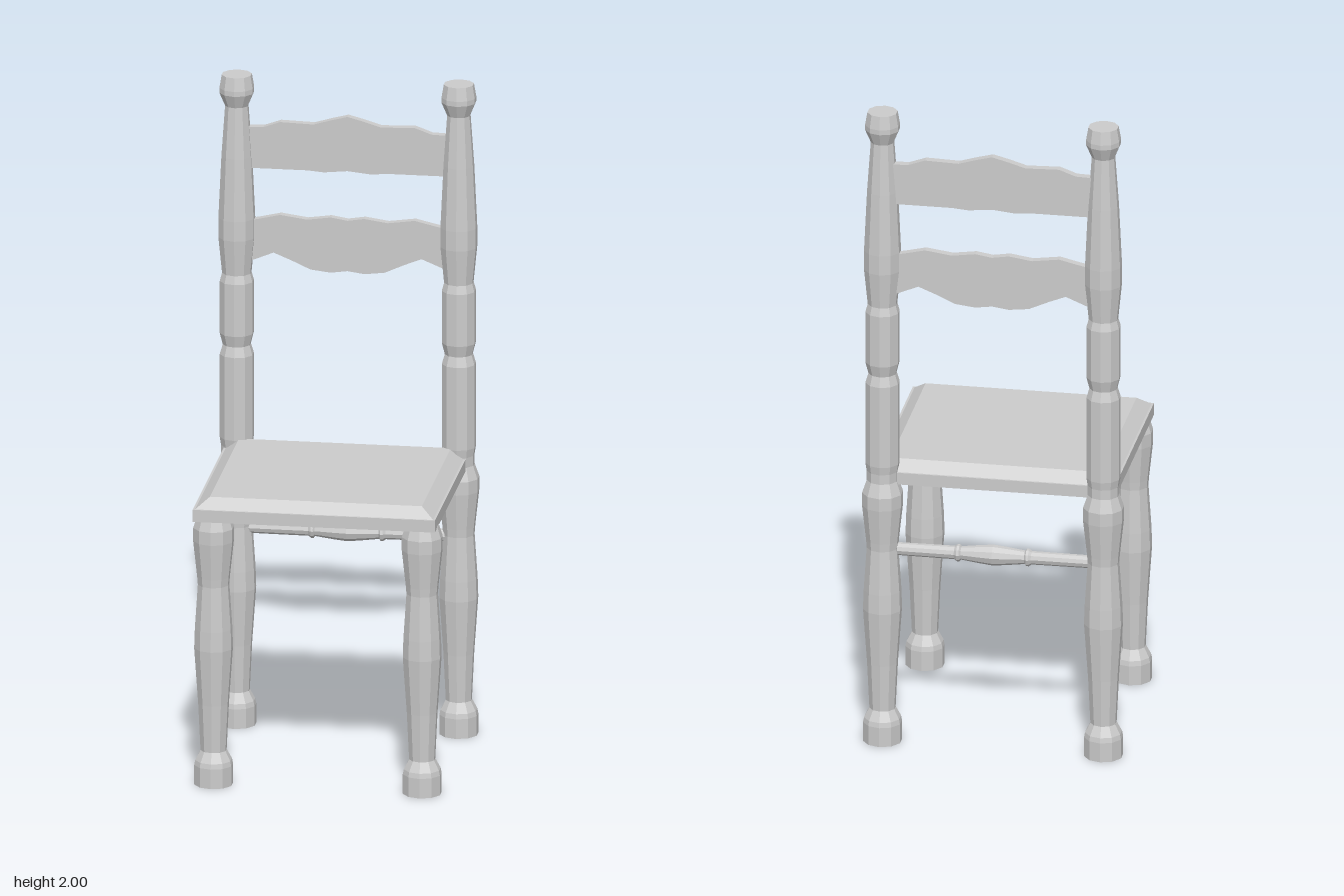
import * as THREE from 'three';

const material = new THREE.MeshStandardMaterial({ color: 0xcccccc, flatShading: true });

function part(parent, name, geometry, x = 0, y = 0, z = 0) {
  const mesh = new THREE.Mesh(geometry, material);
  mesh.name = name;
  mesh.position.set(x, y, z);
  parent.add(mesh);
  return mesh;
}

// Ten-sided turned piece from [radius, height] pairs, capped at both ends
function turned(profile) {
  const points = [[0, profile[0][1]], ...profile, [0, profile[profile.length - 1][1]]];
  return new THREE.LatheGeometry(points.map(([r, y]) => new THREE.Vector2(r, y)), 10);
}

// Flat slat symmetric about x = 0; edges are [x, y] pairs from the centre outwards
function slat(top, bottom, depth) {
  const mirror = (edge) => edge.slice(1).reverse().map(([x, y]) => [-x, y]);
  const upper = [...mirror(top), ...top];
  const lower = [...mirror(bottom), ...bottom].reverse();
  const shape = new THREE.Shape([...upper, ...lower].map(([x, y]) => new THREE.Vector2(x, y)));
  return new THREE.ExtrudeGeometry(shape, { depth, bevelEnabled: false });
}

export function createModel() {
  const chair = new THREE.Group();
  chair.name = 'chair';

  // Legs: the rear ones carry on upwards as back posts
  const leg = [
    [0.058, 0], [0.058, 0.06], [0.055, 0.075], [0.039, 0.105], [0.046, 0.25],
    [0.058, 0.42], [0.056, 0.48], [0.047, 0.615], [0.049, 0.64], [0.061, 0.75], [0.061, 0.79],
  ];
  const post = [
    ...leg, [0.047, 0.83], [0.047, 0.86], [0.051, 0.885], [0.051, 1.14], [0.042, 1.17],
    [0.051, 1.205], [0.051, 1.365], [0.044, 1.39], [0.055, 1.5], [0.055, 1.56],
    [0.046, 1.75], [0.035, 1.905], [0.052, 1.945], [0.052, 1.96], [0.045, 2],
  ];
  const legGeometry = turned([...leg, [0.05, 0.825]]);
  const postGeometry = turned(post);
  for (const [side, s] of [['left', 1], ['right', -1]]) {
    part(chair, side + 'FrontLeg', legGeometry, s * 0.31, 0, 0.295);
    part(chair, side + 'BackPost', postGeometry, s * 0.33, 0, -0.3);
  }

  // Seat: a slab with a chamfered top
  const seat = new THREE.Group();
  seat.name = 'seat';
  chair.add(seat);
  part(seat, 'seatSlab', new THREE.BoxGeometry(0.72, 0.037, 0.66), -0.004, 0.8385, 0.02);
  const chamfer = new THREE.BoxGeometry(0.71, 0.031, 0.65);
  const p = chamfer.attributes.position;
  for (let i = 0; i < p.count; i++) {
    if (p.getY(i) > 0) {
      p.setX(i, p.getX(i) - Math.sign(p.getX(i)) * 0.04);
      p.setZ(i, p.getZ(i) - Math.sign(p.getZ(i)) * 0.036);
    }
  }
  part(seat, 'seatTop', chamfer, -0.004, 0.8715, 0.02);

  // Back slats
  part(chair, 'upperSlat', slat(
    [[0, 1.885], [0.05, 1.872], [0.1, 1.857], [0.2, 1.86], [0.25, 1.842], [0.31, 1.84]],
    [[0, 1.718], [0.07, 1.711], [0.12, 1.715], [0.31, 1.715]], 0.024), 0, 0, -0.317);
  part(chair, 'lowerSlat', slat(
    [[0, 1.565], [0.05, 1.573], [0.12, 1.563], [0.2, 1.574], [0.26, 1.56], [0.31, 1.55]],
    [[0, 1.41], [0.05, 1.403], [0.11, 1.41], [0.17, 1.437], [0.22, 1.457], [0.31, 1.42]],
    0.024), 0, 0, -0.317);

  // Turned stretcher between the rear legs
  const half = [[0.031, 0], [0.027, 0.04], [0.02, 0.095], [0.026, 0.1], [0.026, 0.107], [0.02, 0.115], [0.019, 0.3]];
  const bar = [...half.slice(1).reverse().map(([r, y]) => [r, -y]), ...half];
  part(chair, 'rearStretcher', turned(bar), 0, 0.61, -0.295).rotation.z = Math.PI / 2;

  return chair;
}
